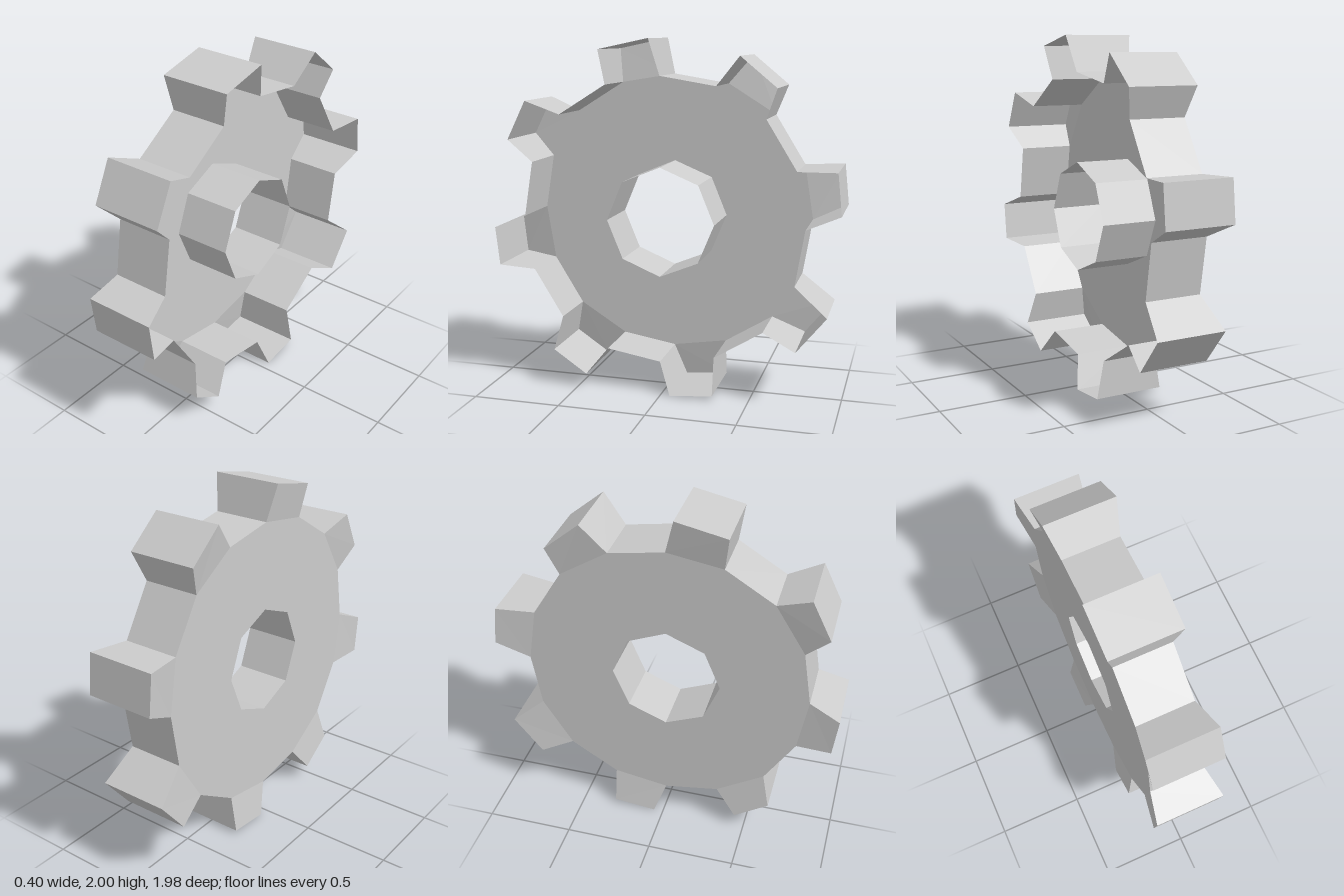
import * as THREE from 'three';

const CZ = 0.0125, CY = 0.995;         // axle position
const BACK = -0.165, OPEN = 0.16;      // body side planes along x
const FLARE = 0.2;                     // half width at the tooth tips

// Slightly uneven tooth tips as [z, y], two per tooth, clockwise from the top
const TIPS = [
  [0.065, 2.0], [0.35, 1.94], [0.785, 1.655], [0.895, 1.435],
  [0.99, 0.925], [0.965, 0.705], [0.64, 0.22], [0.445, 0.09],
  [-0.055, 0.005], [-0.3, 0.03], [-0.76, 0.325], [-0.925, 0.53],
  [-0.985, 1.085], [-0.96, 1.315], [-0.635, 1.745], [-0.435, 1.91],
];

// Ring of [z, y] points around the axle, starting at the top
function ring(count, radius) {
  return Array.from({ length: count }, (_, i) => {
    const a = (i / count) * Math.PI * 2;
    return [CZ + radius(a) * Math.sin(a), CY + radius(a) * Math.cos(a)];
  });
}

const at = (x, [z, y]) => [x, y, z];

// Wall spanning the body width between two points
const wall = (p, q) => [at(BACK, p), at(BACK, q), at(OPEN, q), at(OPEN, p)];

function quadMesh(name, quads, material) {
  const positions = quads.flatMap(([a, b, c, d]) => [a, b, c, a, c, d]).flat();
  const geometry = new THREE.BufferGeometry();
  geometry.setAttribute('position', new THREE.Float32BufferAttribute(positions, 3));
  geometry.computeVertexNormals();
  const mesh = new THREE.Mesh(geometry, material);
  mesh.name = name;
  return mesh;
}

export function createModel() {
  const group = new THREE.Group();
  group.name = 'gear';
  const material = new THREE.MeshStandardMaterial({
    color: 0xcccccc, flatShading: true, side: THREE.DoubleSide,
  });

  const rim = ring(16, a => 0.816 - 0.011 * Math.cos(4 * a));
  const bore = ring(8, () => 0.308);

  // Closed side plate with the octagonal bore
  const toVectors = points => points.map(([z, y]) => new THREE.Vector2(z, y));
  const plateShape = new THREE.Shape(toVectors(rim));
  plateShape.holes.push(new THREE.Path(toVectors(bore)));
  const plateGeometry = new THREE.ShapeGeometry(plateShape);
  plateGeometry.rotateY(-Math.PI / 2).translate(BACK, 0, 0);
  const plate = new THREE.Mesh(plateGeometry, material);
  plate.name = 'sidePlate';
  group.add(plate);

  // Hub sleeve around the bore
  group.add(quadMesh('hubSleeve', bore.map((p, i) => wall(p, bore[(i + 1) % 8])), material));

  // Rim walls between teeth, and hollow flared teeth open on the +x side
  const rimWalls = [];
  for (let k = 0; k < 16; k += 2) {
    rimWalls.push(wall(rim[k + 1], rim[(k + 2) % 16]));

    const [b0, b1, t0, t1] = [rim[k], rim[k + 1], TIPS[k], TIPS[k + 1]];
    group.add(quadMesh('tooth', [
      [at(BACK, b0), at(BACK, b1), at(-FLARE, t1), at(-FLARE, t0)],
      [at(BACK, b0), at(-FLARE, t0), at(FLARE, t0), at(OPEN, b0)],
      [at(BACK, b1), at(OPEN, b1), at(FLARE, t1), at(-FLARE, t1)],
      [at(-FLARE, t0), at(-FLARE, t1), at(FLARE, t1), at(FLARE, t0)],
    ], material));
  }
  group.add(quadMesh('rimWalls', rimWalls, material));

  return group;
}
